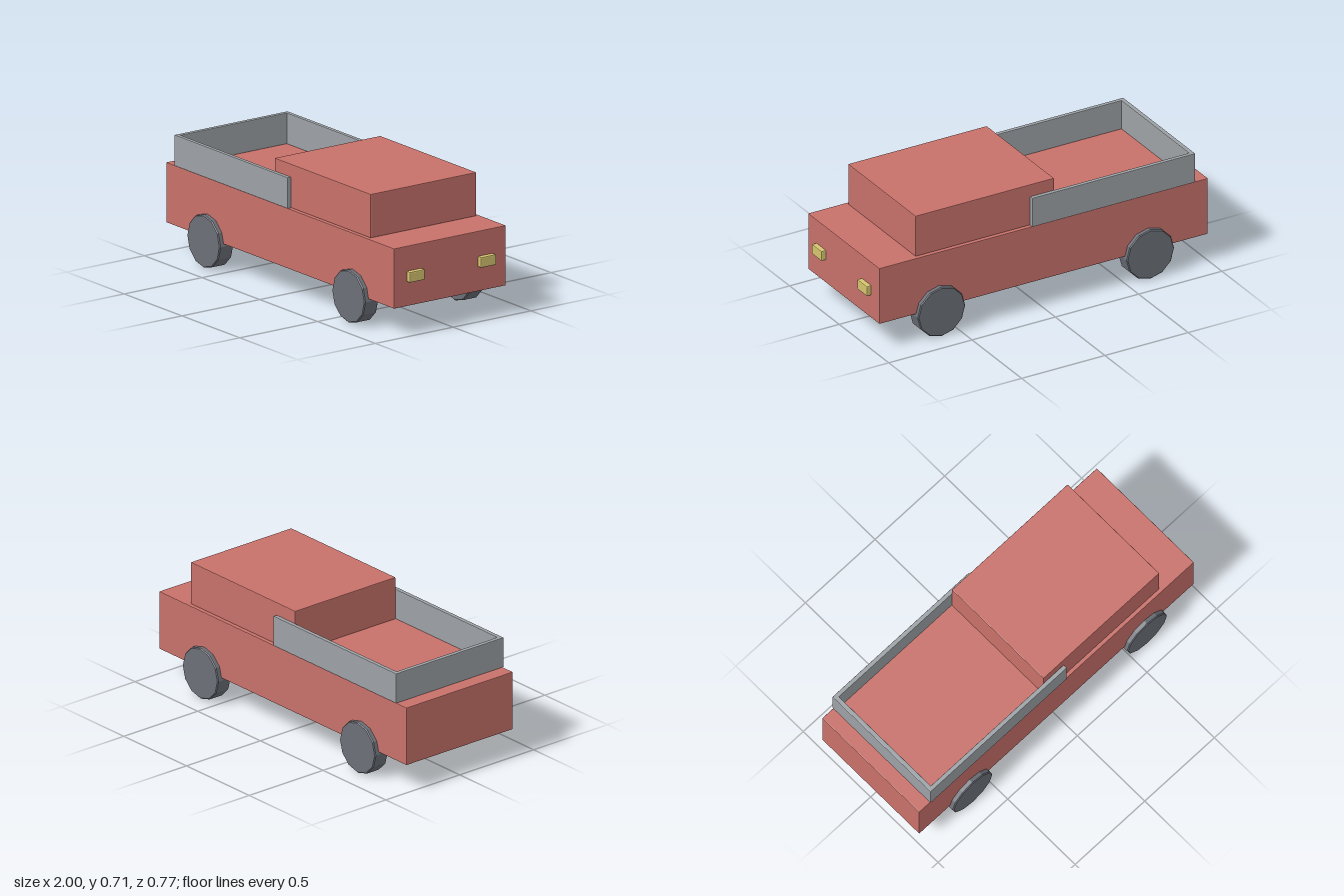
import * as THREE from 'three';
import { RoundedBoxGeometry } from 'three/addons/geometries/RoundedBoxGeometry.js';

const paint = (color) => new THREE.MeshStandardMaterial({ color, flatShading: true });

export function createModel() {
  const truck = new THREE.Group();
  truck.name = 'pickupTruck';
  const red = paint(0xc8716a);
  const grey = paint(0x9da2a6);
  const rubber = paint(0x6c7078);
  const yellow = paint(0xd6c470);

  // Box with a fine chamfer, given by its extents on each axis
  function block(name, material, [x0, x1], [y0, y1], [z0, z1], bevel = 0.004) {
    const geometry = new RoundedBoxGeometry(x1 - x0, y1 - y0, z1 - z0, 1, bevel);
    const mesh = new THREE.Mesh(geometry, material);
    mesh.position.set((x0 + x1) / 2, (y0 + y1) / 2, (z0 + z1) / 2);
    mesh.name = name;
    truck.add(mesh);
  }

  // Body and cab
  block('body', red, [-1, 0.973], [0.155, 0.478], [-0.36, 0.36]);
  block('cab', red, [-0.088, 0.744], [0.478, 0.713], [-0.34, 0.34]);

  // Cargo bed walls
  block('tailgate', grey, [-0.922, -0.897], [0.478, 0.645], [-0.363, 0.363]);
  for (const [name, z] of [['bedWallRight', [0.34, 0.364]], ['bedWallLeft', [-0.364, -0.34]]]) {
    block(name, grey, [-0.922, 0.058], [0.478, 0.645], z);
  }

  // Headlights
  block('headlightRight', yellow, [0.965, 1], [0.286, 0.343], [0.18, 0.278], 0.006);
  block('headlightLeft', yellow, [0.965, 1], [0.286, 0.343], [-0.278, -0.18], 0.006);

  // Twelve-sided wheels with chamfered rims
  const r = 0.1425, h = 0.045, c = 0.005;
  const profile = [[0, -h], [r - c, -h], [r, c - h], [r, h - c], [r - c, h], [0, h]]
    .map(([x, y]) => new THREE.Vector2(x, y));
  const wheelGeometry = new THREE.LatheGeometry(profile, 12).rotateX(Math.PI / 2);
  for (const [end, x] of [['rear', -0.64], ['front', 0.614]]) {
    for (const side of [1, -1]) {
      const wheel = new THREE.Mesh(wheelGeometry, rubber);
      wheel.name = end + 'Wheel' + (side > 0 ? 'Right' : 'Left');
      wheel.position.set(x, r, side * 0.342);
      truck.add(wheel);
    }
  }
  return truck;
}
